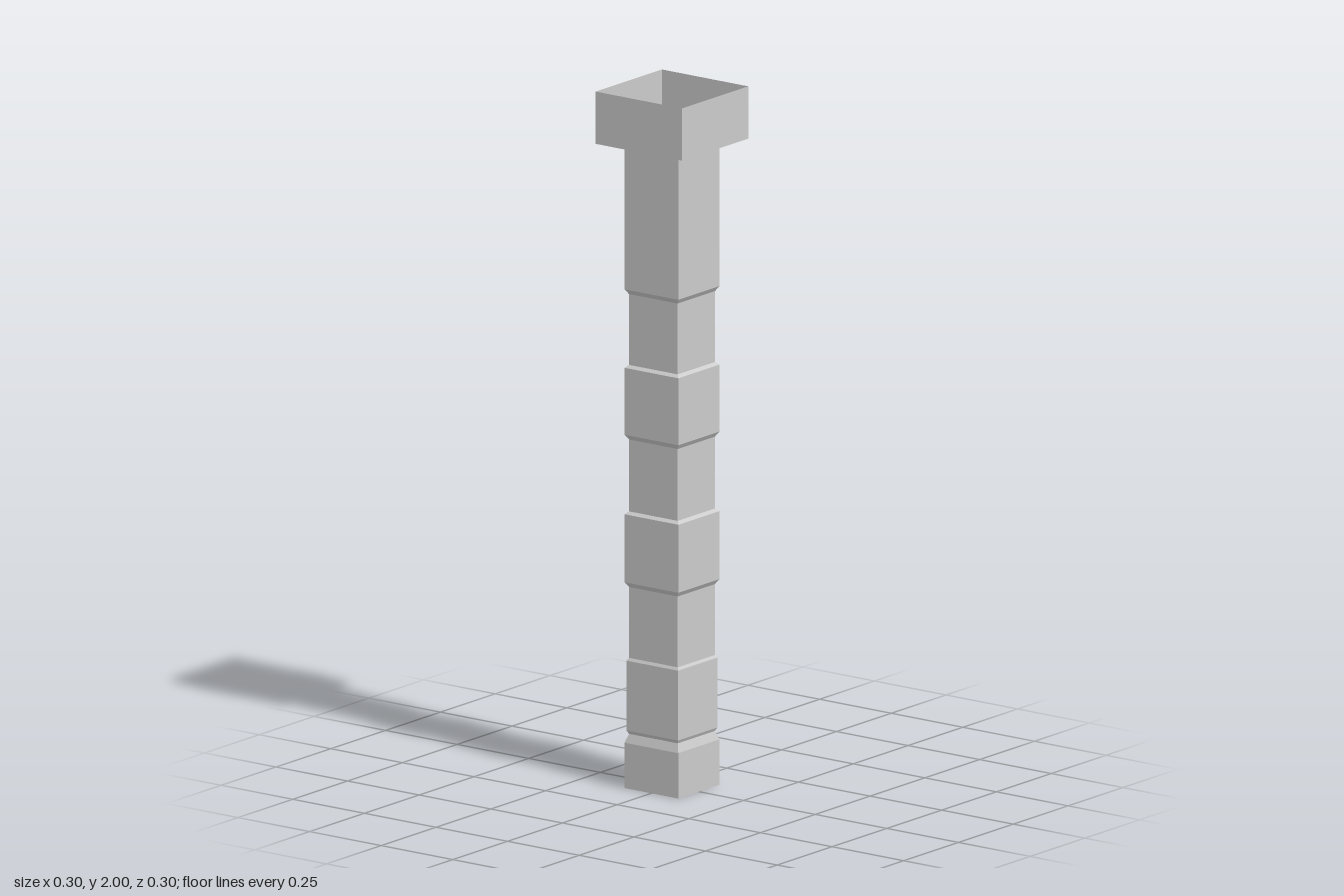
import * as THREE from 'three';

const material = new THREE.MeshStandardMaterial({
  color: 0xcccccc, flatShading: true, side: THREE.DoubleSide,
});

// Open square tube from a profile of [half width, height] points, bottom to top
function squareTube(name, profile) {
  const points = profile.map(([half, y]) => new THREE.Vector2(half * Math.SQRT2, y));
  const mesh = new THREE.Mesh(new THREE.LatheGeometry(points, 4, Math.PI / 4), material);
  mesh.name = name;
  return mesh;
}

export function createModel() {
  const group = new THREE.Group();
  group.name = 'squareColumn';
  const wide = 0.094, narrow = 0.085;

  // Foot block with a sloped shoulder up to a thin groove
  group.add(squareTube('foot', [[wide, 0], [wide, 0.13], [narrow, 0.155]]));

  // Alternating wide blocks and narrow necks: [block half width, bottom, top]
  const blocks = [[0.09, 0.165, 0.365], [wide, 0.59, 0.785], [wide, 1.013, 1.205]];
  const nextBottoms = [0.59, 1.013, 1.43];
  const shaft = [[narrow, 0.155]];
  blocks.forEach(([half, bottom, top], i) => {
    shaft.push([half, bottom], [half, top]);
    shaft.push([narrow, top + 0.008], [narrow, nextBottoms[i] - 0.014]);
  });
  shaft.push([wide, 1.43], [wide, 1.85]);
  group.add(squareTube('shaft', shaft));

  // Open box collar with a flat ring floor
  group.add(squareTube('collar', [[wide, 1.85], [0.151, 1.85], [0.151, 2]]));
  return group;
}
